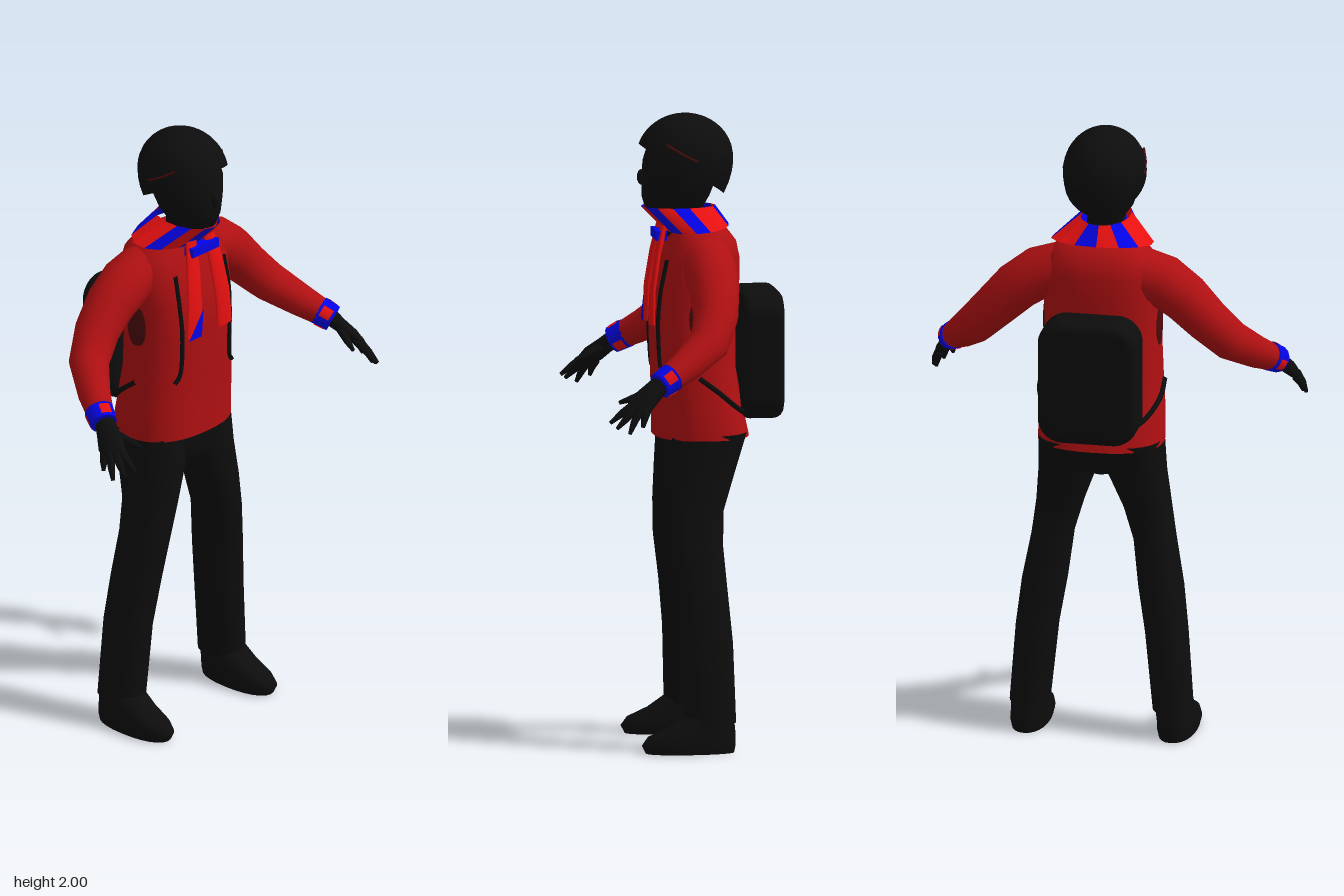
import * as THREE from 'three';
import { ParametricGeometry } from 'three/addons/geometries/ParametricGeometry.js';

const V = (x, y, z) => new THREE.Vector3(x, y, z);
const power = (c, e) => Math.sign(c) * Math.pow(Math.abs(c), e);

// Skin a list of rings (arrays of Vector3, counter-clockwise about the path) and cap both ends
function skin(rings) {
  const n = rings[0].length, pos = [], idx = [];
  rings.forEach(r => r.forEach(p => pos.push(p.x, p.y, p.z)));
  for (let i = 0; i < rings.length - 1; i++) {
    for (let j = 0; j < n; j++) {
      const a = i * n + j, b = i * n + (j + 1) % n;
      idx.push(a, b, a + n, b, b + n, a + n);
    }
  }
  [rings[0], rings[rings.length - 1]].forEach((r, end) => {
    const base = pos.length / 3, c = V(0, 0, 0);
    r.forEach(p => { pos.push(p.x, p.y, p.z); c.addScaledVector(p, 1 / n); });
    pos.push(c.x, c.y, c.z);
    for (let j = 0; j < n; j++) {
      const a = base + j, b = base + (j + 1) % n;
      if (end) idx.push(base + n, a, b); else idx.push(base + n, b, a);
    }
  });
  const g = new THREE.BufferGeometry();
  g.setAttribute('position', new THREE.Float32BufferAttribute(pos, 3));
  g.setIndex(idx);
  g.computeVertexNormals();
  return g;
}

// Horizontal rings from bottom to top: [y, centre x, half width, front z, back z]
function stack(rows, s = 1, e = 1, n = 24) {
  return skin(rows.map(([y, x, a, f, b]) => Array.from({ length: n }, (_, j) => {
    const t = j / n * Math.PI * 2;
    return V(s * x + a * power(Math.sin(t), e), y, (f + b) / 2 + (f - b) / 2 * power(Math.cos(t), e));
  })));
}

// Rings square to a path: [x, y, z, half width, half thickness]
function limb(rows, s = 1, ref = V(0, 0, 1), n = 14) {
  const pts = rows.map(r => V(s * r[0], r[1], r[2]));
  return skin(rows.map((r, i) => {
    const t = pts[Math.min(i + 1, pts.length - 1)].clone().sub(pts[Math.max(i - 1, 0)]).normalize();
    const u = ref.clone().cross(t).normalize(), v = t.clone().cross(u);
    return Array.from({ length: n }, (_, j) => {
      const k = j / n * Math.PI * 2;
      return pts[i].clone().addScaledVector(u, r[3] * Math.cos(k)).addScaledVector(v, (r[4] ?? r[3]) * Math.sin(k));
    });
  }));
}

const cord = (pts, s, r) => new THREE.TubeGeometry(
  new THREE.CatmullRomCurve3(pts.map(p => V(s * p[0], p[1], p[2]))), 20, r, 6);

export function createModel() {
  const model = new THREE.Group();
  const mat = (name, color, side = THREE.FrontSide) => {
    const m = new THREE.MeshStandardMaterial({ color, side });
    m.name = name;
    return m;
  };
  const black = mat('black', 0x0d0d0d, THREE.DoubleSide);
  const jacketRed = mat('jacket red', 0xb01012);
  const scarfRed = mat('scarf red', 0xf81212, THREE.DoubleSide);
  const blue = mat('blue', 0x0404f4, THREE.DoubleSide);
  const darkRed = mat('dark red', 0x4c0a0a);
  const add = (name, geo, m) => {
    const mesh = new THREE.Mesh(geo, m);
    mesh.name = name;
    model.add(mesh);
    return mesh;
  };

  // Head, nose and helmet
  add('head', stack([
    [1.60, 0, 0.06, 0.04, -0.08], [1.69, 0, 0.058, 0.07, -0.065], [1.705, 0, 0.06, 0.115, -0.07],
    [1.74, 0, 0.085, 0.125, -0.09], [1.79, 0, 0.103, 0.126, -0.11], [1.85, 0, 0.113, 0.122, -0.12],
    [1.92, 0, 0.1, 0.1, -0.11],
  ]), black);
  const nose = add('nose', new THREE.SphereGeometry(1, 10, 8), black);
  nose.scale.set(0.014, 0.025, 0.015);
  nose.position.set(0, 1.8, 0.125);
  add('helmet', new ParametricGeometry((u, v, out) => {
    const p = u * Math.PI * 2, rim = 1.825 + 0.08 * Math.cos(p);
    const y = 2 - (2 - rim) * v * v;
    const k = (y - 1.86) / 0.14;
    const r = k > 0 ? Math.sqrt(Math.max(0, 1 - k * k)) : 1 - 0.3 * k * k;
    out.set(0.131 * r * Math.sin(p), y, -0.012 + 0.153 * r * Math.cos(p));
  }, 32, 14), black);

  // Jacket body
  add('jacketBody', stack([
    [0.985, 0, 0.2, 0.09, -0.21], [1.1, 0, 0.197, 0.09, -0.185], [1.2, 0, 0.19, 0.094, -0.168],
    [1.35, 0, 0.183, 0.1, -0.168], [1.45, 0, 0.184, 0.096, -0.18], [1.55, 0, 0.187, 0.07, -0.18],
    [1.6, 0, 0.17, 0.048, -0.17], [1.64, 0, 0.135, 0.03, -0.14], [1.67, 0, 0.07, 0.02, -0.09],
  ], 1, 0.82, 32), jacketRed);

  // Trousers seat
  add('trouserSeat', stack([
    [0.87, 0, 0.03, 0.03, -0.09], [0.9, 0, 0.14, 0.062, -0.155],
    [0.96, 0, 0.19, 0.066, -0.185], [1.02, 0, 0.185, 0.066, -0.19],
  ], 1, 0.85), black);

  for (const s of [1, -1]) {
    const side = s > 0 ? 'left' : 'right';
    // Leg and shoe
    add(side + 'Leg', stack([
      [0.1, 0.229, 0.063, 0.022, -0.142], [0.35, 0.207, 0.067, 0.03, -0.135], [0.5, 0.186, 0.071, 0.045, -0.122],
      [0.65, 0.163, 0.066, 0.066, -0.11], [0.76, 0.139, 0.075, 0.071, -0.115], [0.88, 0.11, 0.092, 0.07, -0.155],
      [1.0, 0.102, 0.096, 0.065, -0.193],
    ], s, 0.9), black);
    add(side + 'Shoe', stack([
      [0.005, 0.235, 0.058, 0.145, -0.135], [0.03, 0.235, 0.064, 0.158, -0.14], [0.055, 0.234, 0.062, 0.14, -0.14],
      [0.085, 0.232, 0.06, 0.075, -0.138], [0.13, 0.23, 0.055, 0.01, -0.13],
    ], s, 0.9), black);

    // Sleeve and striped cuff
    add(side + 'Sleeve', limb([
      [0.11, 1.553, -0.065, 0.08], [0.2, 1.522, -0.066, 0.084], [0.27, 1.472, -0.068, 0.079],
      [0.34, 1.4, -0.062, 0.071], [0.41, 1.325, -0.03, 0.064], [0.47, 1.265, 0.05, 0.052], [0.515, 1.22, 0.125, 0.041],
    ], s), jacketRed);
    add(side + 'Cuff', limb([
      [0.502, 1.235, 0.1, 0.0465], [0.524, 1.211, 0.142, 0.043],
    ], s), blue);
    for (const k of [0, 2.1, 4.2]) {
      const patch = add(side + 'CuffPatch', new THREE.CylinderGeometry(0.045, 0.048, 0.035, 5, 1, true, k, 0.8), scarfRed);
      patch.position.set(s * 0.513, 1.223, 0.121);
      patch.quaternion.setFromUnitVectors(V(0, 1, 0), V(s * 0.022, -0.024, 0.042).normalize());
    }

    // Gloved hand
    const palmFacing = V(s, 1, 0.28);
    add(side + 'Palm', limb([
      [0.515, 1.222, 0.13, 0.03, 0.028], [0.532, 1.193, 0.165, 0.036, 0.023],
      [0.552, 1.163, 0.2, 0.043, 0.02], [0.562, 1.143, 0.222, 0.036, 0.014],
    ], s, palmFacing), black);
    const fingers = [
      [[0.52, 1.19, 0.175], [0.5, 1.17, 0.225], [0.485, 1.155, 0.265]],
      [[0.54, 1.16, 0.22], [0.546, 1.13, 0.265], [0.55, 1.1, 0.303]],
      [[0.555, 1.15, 0.22], [0.568, 1.115, 0.255], [0.576, 1.085, 0.285]],
      [[0.568, 1.145, 0.21], [0.584, 1.105, 0.232], [0.593, 1.07, 0.247]],
      [[0.572, 1.14, 0.19], [0.586, 1.115, 0.2], [0.592, 1.09, 0.205]],
    ];
    for (const f of fingers) {
      add(side + 'Finger', limb(f.map((p, i) => [...p, [0.015, 0.012, 0.006][i]]), s, palmFacing, 8), black);
    }

    // Backpack straps, underarm patch and helmet stripe
    add(side + 'FrontStrap', cord([[0.11, 1.55, 0.06], [0.112, 1.45, 0.08], [0.108, 1.35, 0.088],
      [0.113, 1.21, 0.081], [0.13, 1.188, 0.076]], s, 0.007), black);
    add(side + 'WaistStrap', cord([[0.195, 1.185, -0.03], [0.192, 1.14, -0.09],
      [0.154, 1.085, -0.155], [0.11, 1.06, -0.19]], s, 0.009), black);
    const patch = add(side + 'UnderarmPatch', new THREE.SphereGeometry(1, 16, 12), darkRed);
    patch.scale.set(0.008, 0.075, 0.04);
    patch.position.set(s * 0.181, 1.37, -0.04);
    add(side + 'HelmetStripe', cord([[0.11, 1.915, 0.06], [0.126, 1.885, 0.01], [0.128, 1.862, -0.035]], s, 0.004), darkRed);

    // Hanging scarf end
    add(side + 'ScarfTail', limb([
      [0.04, 1.65, 0.06, 0.022, 0.012], [0.052, 1.56, 0.082, 0.029, 0.01],
      [0.063, 1.45, 0.099, 0.032, 0.009], [0.07, 1.34, 0.102, 0.033, 0.008],
    ], s), scarfRed);
  }

  // Blue scarf tip and knot
  const tip = new THREE.Shape([[-0.103, 1.338], [-0.045, 1.338], [-0.038, 1.43]].map(p => new THREE.Vector2(...p)));
  add('scarfTip', new THREE.ShapeGeometry(tip), blue).position.z = 0.113;
  add('scarfKnot', new THREE.BoxGeometry(0.12, 0.03, 0.035), blue).position.set(0, 1.62, 0.07);

  // Striped scarf collar: wide at the shoulders, leaning forward at the top
  const collarPoint = (j, top) => {
    const t = j / 14 * Math.PI * 2, x = Math.sin(t), z = Math.cos(t);
    return top ? V(0.08 * x, 1.708, 0.01 + 0.118 * z) : V(0.165 * x, 1.64 - 0.01 * z, -0.05 + 0.1 * z);
  };
  for (let j = 0; j < 14; j++) {
    const g = new THREE.BufferGeometry().setFromPoints([
      collarPoint(j, false), collarPoint(j + 1, false), collarPoint(j, true), collarPoint(j + 1, true)]);
    g.setIndex([0, 1, 2, 1, 3, 2]);
    g.computeVertexNormals();
    add('scarfCollar', g, [1, 3, 6, 8, 11, 13].includes(j) ? blue : scarfRed);
  }

  // Backpack
  const w = 0.13, lo = 1.07, hi = 1.415, r = 0.05, pack = new THREE.Shape();
  pack.absarc(w - r, lo + r, r, -Math.PI / 2, 0);
  pack.absarc(w - r, hi - r, r, 0, Math.PI / 2);
  pack.absarc(r - w, hi - r, r, Math.PI / 2, Math.PI);
  pack.absarc(r - w, lo + r, r, Math.PI, Math.PI * 1.5);
  add('backpack', new THREE.ExtrudeGeometry(pack, {
    depth: 0.075, bevelSize: 0.03, bevelThickness: 0.03, bevelSegments: 4, curveSegments: 8,
  }), black).position.z = -0.28;

  return model;
}
